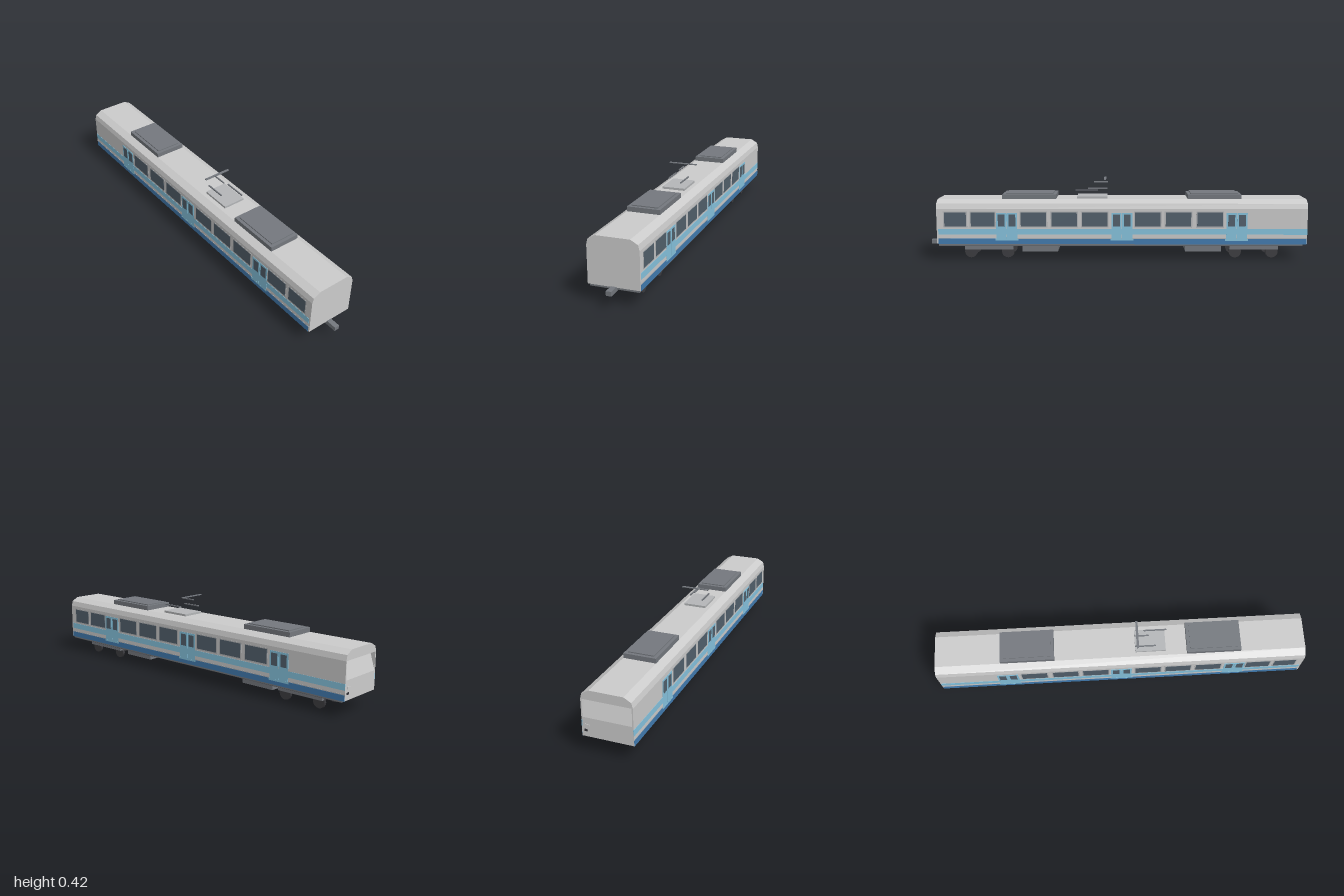
import * as THREE from 'three';

const mat = (color) => new THREE.MeshStandardMaterial({ color, flatShading: true });
const M = {
  body: mat(0xcccccc), roof: mat(0xd8d8da), grey: mat(0x74787e), floor: mat(0x55585c),
  lightBlue: mat(0x86c3de), darkBlue: mat(0x417bb0), glass: mat(0x52606c),
  wheel: mat(0x3c3c40), frame: mat(0xb4b6b8), white: mat(0xeeeeee), dark: mat(0x333338),
};

export function createModel() {
  const train = new THREE.Group();
  train.name = 'railcar';

  const add = (name, geometry, material, parent = train) => {
    const mesh = new THREE.Mesh(geometry, material);
    mesh.name = name;
    parent.add(mesh);
    return mesh;
  };
  // Box given by its limits on each axis
  const box = (name, material, [x0, x1], [y0, y1], [z0, z1], parent) => {
    const g = new THREE.BoxGeometry(x1 - x0, y1 - y0, z1 - z0);
    g.translate((x0 + x1) / 2, (y0 + y1) / 2, (z0 + z1) / 2);
    return add(name, g, material, parent);
  };
  const polygon = (points) => new THREE.Shape(points.map(([x, y]) => new THREE.Vector2(x, y)));
  const extrude = (shape, z0, z1) => new THREE.ExtrudeGeometry(shape, { depth: z1 - z0, bevelEnabled: false }).translate(0, 0, z0);

  // Body shell: straight walls, with thin cheeks reaching past the cab end
  const W = 0.126, REAR = -1, CAB = -0.965, FRONT = 0.945;
  box('bodyWalls', M.body, [-W, W], [0.085, 0.27], [CAB, FRONT]);
  for (const s of [-1, 1]) {
    const x = [s * W, s * (W - 0.006)].sort((a, b) => a - b);
    box('cabCheek', M.body, x, [0.085, 0.27], [REAR, CAB]);
  }

  // Faceted roof, overhanging the cab as a visor
  const roof = polygon([[-W, 0.27], [W, 0.27], [0.119, 0.297], [0.083, 0.317], [-0.083, 0.317], [-0.119, 0.297]]);
  add('roof', extrude(roof, REAR, FRONT), M.roof);

  // Cab end: upright lower panel and a windscreen leaning back under the visor
  const cab = polygon([[-CAB, 0.085], [-REAR, 0.085], [-REAR, 0.18], [0.972, 0.27], [-CAB, 0.27]]);
  const cabGeometry = extrude(cab, -W + 0.006, W - 0.006).rotateY(Math.PI / 2);
  add('cabEnd', cabGeometry, M.body);
  box('headLamp', M.white, [0.088, 0.108], [0.138, 0.148], [-1.003, -0.99]);
  box('tailLamp', M.dark, [0.098, 0.112], [0.112, 0.122], [-1.003, -0.99]);

  // Underframe
  box('underframe', M.grey, [-0.12, 0.12], [0.074, 0.086], [-0.98, 0.938]);
  box('floorPan', M.floor, [-0.119, 0.119], [0.072, 0.074], [-0.979, 0.937]);

  // Sides: stripes, windows and double doors
  const windows = [
    [0.79, 0.904], [0.64, 0.765], [0.37, 0.503], [0.209, 0.342], [0.048, 0.182],
    [-0.23, -0.096], [-0.39, -0.257], [-0.556, -0.422],
  ];
  const doors = [0.577, -0.027, -0.63];
  for (const s of [-1, 1]) {
    const side = new THREE.Group();
    side.name = s > 0 ? 'leftSide' : 'rightSide';
    train.add(side);
    const panel = (name, material, out, y, z) => {
      const x = [s * (W - 0.004), s * (W + out)].sort((a, b) => a - b);
      box(name, material, x, y, z, side);
    };
    panel('lightStripe', M.lightBlue, 0.0012, [0.134, 0.165], [REAR, 0.937]);
    panel('thinStripe', M.frame, 0.0008, [0.112, 0.116], [REAR, 0.937]);
    panel('darkStripe', M.darkBlue, 0.0015, [0.083, 0.112], [-0.998, 0.937]);
    for (const [a, b] of windows) {
      panel('windowFrame', M.frame, 0.0008, [0.171, 0.256], [a - 0.006, b + 0.006]);
      panel('window', M.glass, 0.0014, [0.177, 0.251], [a, b]);
    }
    for (const z of doors) {
      panel('doorSill', M.lightBlue, 0.0022, [0.102, 0.112], [z - 0.06, z + 0.06]);
      for (const d of [-1, 1]) {
        const c = z + d * 0.028;
        panel('doorLeaf', M.lightBlue, 0.0018, [0.112, 0.25], [c - 0.027, c + 0.027]);
        panel('doorWindow', M.glass, 0.0024, [0.178, 0.24], [c - 0.018, c + 0.018]);
      }
    }
  }

  // Roof units and underfloor equipment boxes
  for (const [a, b] of [[0.32, 0.604], [-0.657, -0.375]]) {
    box('roofUnit', M.grey, [-0.083, 0.083], [0.31, 0.341], [a, b]);
    box('roofUnitCover', M.grey, [-0.066, 0.066], [0.341, 0.346], [a + 0.017, b - 0.017]);
  }
  for (const z of [[0.313, 0.503], [-0.555, -0.365]]) {
    box('equipmentBox', M.grey, [-0.075, 0.075], [0.034, 0.074], z);
  }

  // Current collector with separate arms above its base
  const collector = new THREE.Group();
  collector.name = 'currentCollector';
  train.add(collector);
  box('collectorBase', M.frame, [-0.06, 0.06], [0.314, 0.328], [0.05, 0.21], collector);
  box('lowerArm', M.grey, [-0.046, -0.04], [0.357, 0.363], [0.05, 0.157], collector);
  box('lowerArm', M.grey, [0.04, 0.046], [0.357, 0.363], [0.1, 0.218], collector);
  box('upperArm', M.grey, [-0.003, 0.003], [0.397, 0.402], [0.048, 0.122], collector);
  box('contactStrip', M.grey, [-0.074, 0.074], [0.416, 0.42], [0.056, 0.068], collector);

  // Bogies: side beams, transom, and two wheelsets each
  for (const [a, b] of [[0.58, 0.777], [-0.826, -0.63]]) {
    const bogie = new THREE.Group();
    bogie.name = 'bogie';
    train.add(bogie);
    const mid = (a + b) / 2;
    box('transom', M.grey, [-0.075, 0.075], [0.047, 0.074], [mid - 0.025, mid + 0.025], bogie);
    for (const s of [-1, 1]) {
      box('sideBeam', M.grey, [s * 0.082 - 0.008, s * 0.082 + 0.008], [0.047, 0.074], [a - 0.03, b + 0.03], bogie);
    }
    for (const z of [a, b]) {
      const axle = add('axle', new THREE.CylinderGeometry(0.006, 0.006, 0.13, 10).rotateZ(Math.PI / 2), M.wheel, bogie);
      axle.position.set(0, 0.036, z);
      for (const s of [-1, 1]) {
        const wheel = add('wheel', new THREE.CylinderGeometry(0.033, 0.033, 0.01, 20).rotateZ(Math.PI / 2), M.wheel, bogie);
        wheel.position.set(s * 0.067, 0.034, z);
        const flange = add('flange', new THREE.CylinderGeometry(0.034, 0.034, 0.002, 20).rotateZ(Math.PI / 2), M.wheel, bogie);
        flange.position.set(s * 0.061, 0.034, z);
      }
    }
  }

  // Coupler
  box('coupler', M.grey, [-0.013, 0.013], [0.066, 0.088], [0.93, 1]);

  return train;
}
